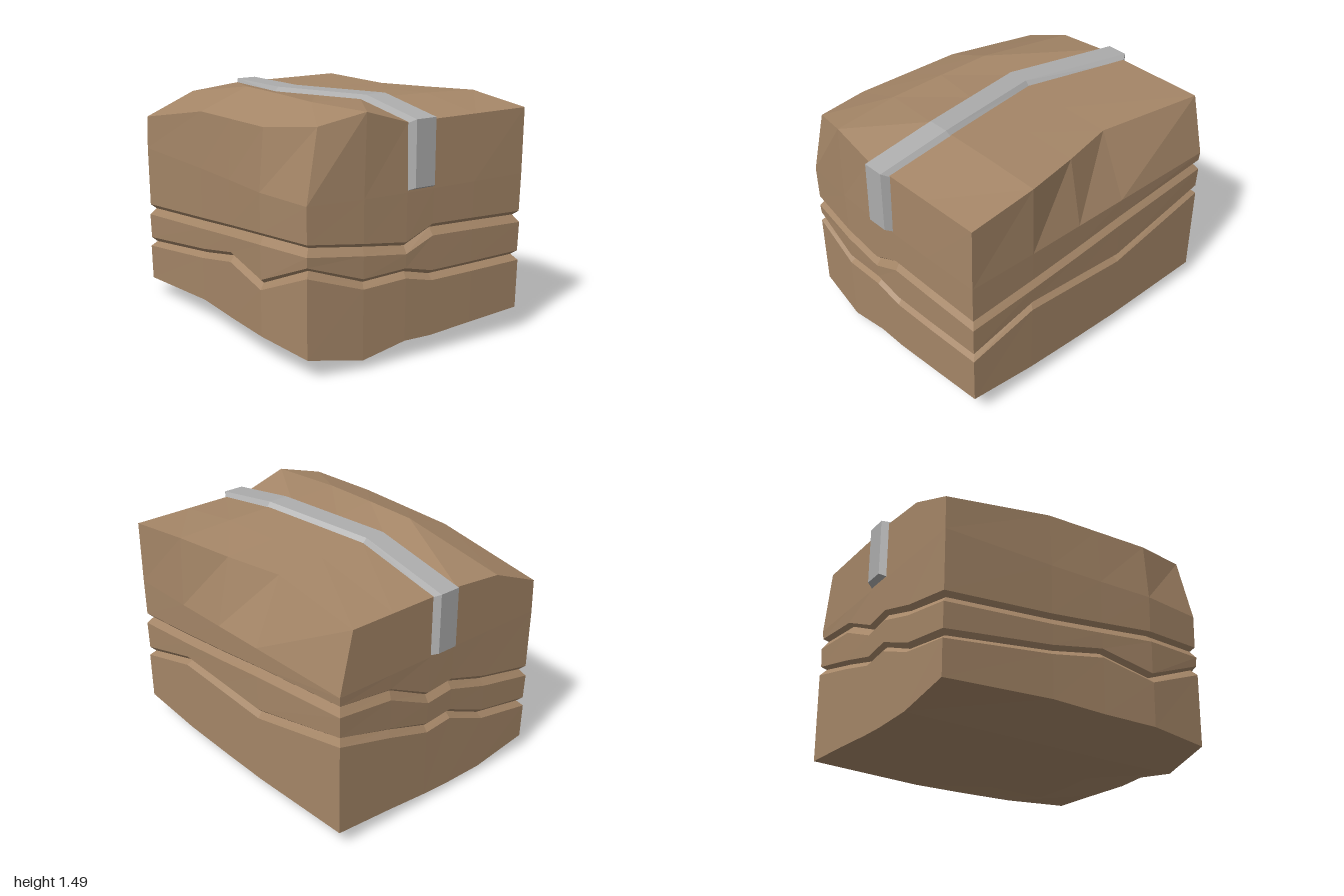
import * as THREE from 'three';

const cardboard = new THREE.MeshStandardMaterial({ color: 0xa68768 });
cardboard.name = 'cardboard brown';
const tapeGrey = new THREE.MeshStandardMaterial({ color: 0xadadad });
tapeGrey.name = 'tape grey';

// Faceted mesh from quads of [x, y, z] corners
function facetedMesh(name, quads, material) {
  const pos = [];
  for (const [a, b, c, d] of quads) pos.push(...a, ...b, ...c, ...a, ...c, ...d);
  const geo = new THREE.BufferGeometry();
  geo.setAttribute('position', new THREE.Float32BufferAttribute(pos, 3));
  geo.computeVertexNormals();
  const mesh = new THREE.Mesh(geo, material);
  mesh.name = name;
  return mesh;
}

// Plan outline, from the front right corner along the front and round the box
const PLAN = [
  [-0.73, 0.91], [-0.38, 0.95], [-0.09, 0.96], [0.1, 0.96], [0.4, 0.96], [0.775, 0.955],
  [0.78, 0.5], [0.78, 0.13], [0.78, -0.23], [0.78, -0.96],
  [0.4, -0.96], [0.1, -0.96], [-0.09, -0.96], [-0.38, -0.96], [-0.775, -0.96],
  [-0.765, -0.23], [-0.77, 0.13], [-0.78, 0.5],
];
// Heights round the outline
const BASE = [0.12, 0.055, 0.115, 0.11, 0.13, 0.15, 0.11, 0.095, 0.085, 0.1,
  0.075, 0.05, 0.04, 0.04, 0.1, 0.15, 0.14, 0.14];
const LOW_CREASE = [0.63, 0.515, 0.53, 0.485, 0.487, 0.49, 0.61, 0.585, 0.56, 0.72,
  0.62, 0.53, 0.55, 0.43, 0.36, 0.46, 0.53, 0.46];
const HIGH_CREASE = [0.76, 0.72, 0.685, 0.765, 0.755, 0.74, 0.78, 0.815, 0.855, 0.92,
  0.88, 0.74, 0.76, 0.67, 0.59, 0.66, 0.7, 0.74];
const SHOULDER = PLAN.map(() => 1);

// Lid grid: rows front to back, columns from -x to +x
const TOP_X = [
  [-0.64, -0.37, -0.09, 0.1, 0.4, 0.78],
  [-0.75, -0.43, -0.09, 0.1, 0.4, 0.77],
  [-0.75, -0.43, -0.155, 0.03, 0.35, 0.69],
  [-0.75, -0.43, -0.22, -0.04, 0.28, 0.6],
  [-0.77, -0.43, -0.09, 0.1, 0.4, 0.69],
];
const TOP_Y = [
  [1.42, 1.485, 1.4, 1.4, 1.4, 1.4],
  [1.37, 1.48, 1.465, 1.465, 1.46, 1.445],
  [1.36, 1.48, 1.445, 1.445, 1.44, 1.425],
  [1.35, 1.475, 1.425, 1.425, 1.42, 1.41],
  [1.21, 1.35, 1.38, 1.38, 1.38, 1.38],
];
const ROW_Z = [0.955, 0.5, 0.13, -0.23, -0.96];
// Sagging underside, inner points only
const SAG = [
  [0.035, 0.02, 0.015, 0.03],
  [0.035, 0.015, 0.005, 0.03],
  [0.035, 0.01, 0, 0.03],
];

// Grid cell [column, row] of each outline point
const CELLS = [];
for (let i = 0; i < 6; i++) CELLS.push([i, 0]);
for (let j = 1; j < 5; j++) CELLS.push([5, j]);
for (let i = 4; i >= 0; i--) CELLS.push([i, 4]);
for (let j = 3; j > 0; j--) CELLS.push([0, j]);

function buildBox() {
  const ring = (heights, lift, inset = 0) => PLAN.map(([x, z], k) =>
    [x * (1 - inset), heights[k] + lift, z * (1 - inset * 0.85)]);

  const top = ROW_Z.map((z, j) => TOP_X[j].map((x, i) =>
    [x, TOP_Y[j][i], i === 0 && j === 0 ? 0.88 : z]));

  // Walls with two pinched creases
  const rings = [
    ring(BASE, 0, 0.005),
    ring(LOW_CREASE, -0.035), ring(LOW_CREASE, 0, 0.04), ring(LOW_CREASE, 0.025, 0.005),
    ring(HIGH_CREASE, -0.045), ring(HIGH_CREASE, 0, 0.04), ring(HIGH_CREASE, 0.025, 0.005),
    ring(SHOULDER, 0),
    CELLS.map(([i, j]) => top[j][i]),
  ];
  const quads = [];
  for (let l = 0; l < rings.length - 1; l++) {
    for (let k = 0; k < PLAN.length; k++) {
      const n = (k + 1) % PLAN.length;
      quads.push([rings[l][k], rings[l][n], rings[l + 1][n], rings[l + 1][k]]);
    }
  }

  // Underside grid shares its border with the lowest ring
  const bottom = ROW_Z.map((z, j) => [-0.76, -0.4, -0.09, 0.1, 0.4, 0.78].map((x, i) =>
    [x, SAG[j - 1]?.[i - 1] ?? 0, z]));
  CELLS.forEach(([i, j], k) => { bottom[j][i] = rings[0][k]; });

  for (let j = 0; j < 4; j++) {
    for (let i = 0; i < 5; i++) {
      quads.push([top[j][i], top[j][i + 1], top[j + 1][i + 1], top[j + 1][i]]);
      quads.push([bottom[j][i], bottom[j + 1][i], bottom[j + 1][i + 1], bottom[j][i + 1]]);
    }
  }
  return facetedMesh('dentedBox', quads, cardboard);
}

function buildTape() {
  // Stations: centre x, y, z, then outward offset in y and z
  const stations = [
    [0.005, 1.01, 0.955, 0.02, 0.045],
    [0.005, 1.395, 0.955, 0.025, 0.045],
    [0.005, 1.462, 0.51, 0.03, 0.01],
    [-0.13, 1.422, -0.24, 0.03, 0],
    [0.005, 1.375, -0.955, 0.025, -0.045],
    [0.005, 1.01, -0.955, 0.02, -0.045],
  ];
  const loops = stations.map(([x, y, z, oy, oz]) => [
    [x - 0.095, y, z], [x - 0.068, y + oy, z + oz],
    [x + 0.068, y + oy, z + oz], [x + 0.095, y, z],
  ]);
  const quads = [];
  for (let s = 0; s < loops.length - 1; s++) {
    for (let k = 0; k < 4; k++) {
      const n = (k + 1) % 4;
      quads.push([loops[s][k], loops[s][n], loops[s + 1][n], loops[s + 1][k]]);
    }
  }
  // End caps
  quads.push([...loops[0]].reverse(), loops[loops.length - 1]);
  return facetedMesh('tapeStrip', quads, tapeGrey);
}

export function createModel() {
  const model = new THREE.Group();
  model.name = 'crumpledParcel';
  model.add(buildBox(), buildTape());
  return model;
}
